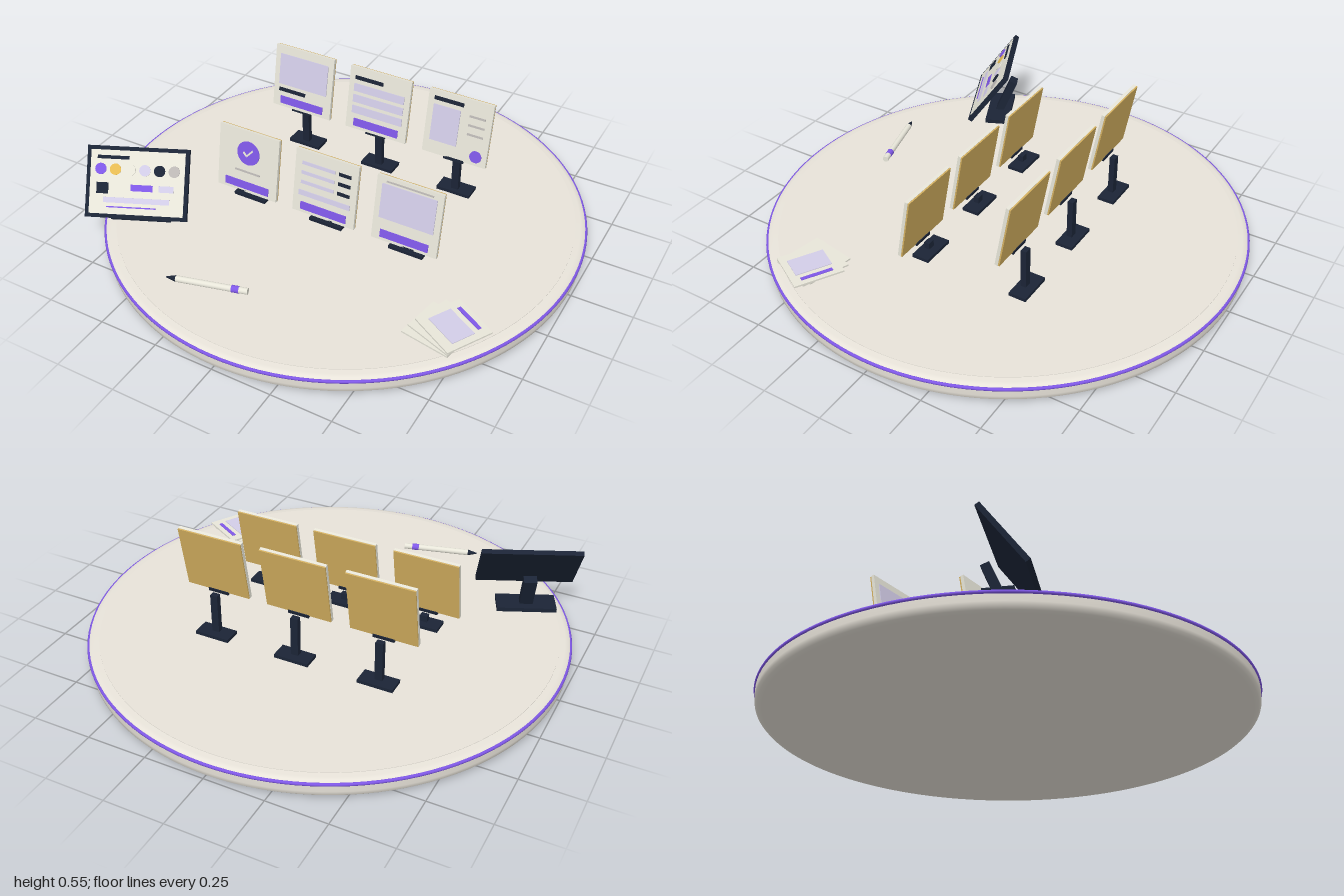
import * as THREE from 'three';
import { toCreasedNormals } from 'three/addons/utils/BufferGeometryUtils.js';

const mat = (name, color) => {
  const m = new THREE.MeshStandardMaterial({ color });
  m.name = name;
  return m;
};
const cream = mat('cream', 0xf1ece2);
const paper = mat('paper', 0xf5f3e6);
const lavender = mat('lavender', 0xdcd6f2);
const purple = mat('purple', 0x8058e8);
const gold = mat('gold', 0xd4b060);
const yellow = mat('yellow', 0xf0c456);
const navy = mat('navy', 0x1b2436);
const grey = mat('grey', 0xbdb9b6);

const TOP = 0.08;

function add(parent, name, geo, material, x = 0, y = 0, z = 0) {
  const m = new THREE.Mesh(geo, material);
  m.name = name;
  m.position.set(x, y, z);
  parent.add(m);
  return m;
}
const box = (p, name, material, w, h, d, x, y, z) =>
  add(p, name, new THREE.BoxGeometry(w, h, d), material, x, y, z);

function group(parent, name, x = 0, y = 0, z = 0) {
  const g = new THREE.Group();
  g.name = name;
  g.position.set(x, y, z);
  parent.add(g);
  return g;
}

// Thin painted plate and disc lying on a panel that faces +z
const plate = (p, name, material, w, h, x, y, z) => box(p, name, material, w, h, 0.006, x, y, z);
function dot(p, name, material, r, x, y, z) {
  const geo = new THREE.CylinderGeometry(r, r, 0.006, 28).rotateX(Math.PI / 2);
  return add(p, name, geo, material, x, y, z);
}

// Round table with bevelled edges, rim band and raised inlay
function addTable(root) {
  const g = group(root, 'table');
  const profile = [[0, 0], [0.965, 0], [0.982, 0.004], [0.992, 0.014], [0.994, 0.03],
    [0.994, 0.066], [0.985, 0.075], [0.97, 0.078], [0, 0.078]].map(p => new THREE.Vector2(...p));
  add(g, 'tableDisc', toCreasedNormals(new THREE.LatheGeometry(profile, 128), 0.7), cream);
  add(g, 'rimBand', new THREE.TorusGeometry(0.993, 0.007, 8, 128).rotateX(Math.PI / 2), purple, 0, 0.063, 0);
  add(g, 'tableInlay', new THREE.CylinderGeometry(0.95, 0.95, 0.004, 128), cream, 0, TOP - 0.002, 0);
}

// Printed layouts, drawn in card coordinates
const F = 0.011;
const header = (c, y = 0.108) => plate(c, 'header', navy, 0.13, 0.016, -0.05, y, F);
const button = c => plate(c, 'button', purple, 0.21, 0.034, 0, -0.108, F);
const layouts = {
  picture(c) {
    plate(c, 'picture', lavender, 0.235, 0.14, 0, 0.035, F);
    plate(c, 'caption', navy, 0.13, 0.016, -0.05, -0.06, F);
    button(c);
  },
  form(c) {
    header(c, 0.095);
    for (let i = 0; i < 3; i++) plate(c, 'field', lavender, 0.235, 0.034, 0, 0.05 - i * 0.05, F);
    button(c);
  },
  columns(c) {
    header(c);
    plate(c, 'sideColumn', lavender, 0.12, 0.16, -0.055, -0.0, F);
    for (let i = 0; i < 3; i++) plate(c, 'textLine', grey, 0.07, 0.008, 0.08, 0.07 - i * 0.04, F);
    dot(c, 'roundButton', purple, 0.026, 0.095, -0.1, F);
  },
  check(c) {
    dot(c, 'badge', purple, 0.053, 0, 0.042, F);
    const a = plate(c, 'tickShort', paper, 0.022, 0.007, -0.014, 0.037, F + 0.004);
    a.rotation.z = -0.8;
    const b = plate(c, 'tickLong', paper, 0.042, 0.007, 0.008, 0.044, F + 0.004);
    b.rotation.z = 0.85;
    plate(c, 'textLine', grey, 0.12, 0.007, 0, -0.045, F);
    button(c);
  },
  list(c) {
    for (let i = 0; i < 3; i++) {
      plate(c, 'listLine', lavender, 0.15, 0.014, -0.035, 0.085 - i * 0.043, F);
      plate(c, 'listTag', navy, 0.055, 0.014, 0.085, 0.085 - i * 0.043, F);
    }
    plate(c, 'totalLine', lavender, 0.235, 0.022, 0, -0.05, F);
    button(c);
  },
  block(c) {
    plate(c, 'textLine', grey, 0.2, 0.006, 0, 0.122, F);
    plate(c, 'block', lavender, 0.235, 0.15, 0, 0.035, F);
    button(c);
  },
};

// Tilted display card on a stand; postH is the height of its post
function addCard(root, layout, x, z, postH) {
  const g = group(root, 'displayCard', x, TOP, z);
  box(g, 'standBase', navy, 0.15, 0.014, 0.075, 0, 0.007, -0.022);
  box(g, 'standPost', navy, 0.032, postH, 0.024, 0, postH / 2, -0.014);
  const c = group(g, 'card', 0, postH + 0.142, 0);
  c.rotation.x = -0.18;
  box(c, 'cardFront', paper, 0.285, 0.28, 0.014, 0, 0, 0.003);
  box(c, 'cardBack', gold, 0.283, 0.278, 0.006, 0, 0, -0.007);
  box(c, 'cardClip', navy, 0.09, 0.014, 0.024, 0, -0.142, -0.002);
  layouts[layout](c);
}

// Leaning tablet with stand
function addTablet(root) {
  const g = group(root, 'tablet', -0.685, TOP, 0.495);
  g.rotation.y = 0.42;
  box(g, 'tabletBase', navy, 0.25, 0.018, 0.11, 0, 0.009, -0.03);
  box(g, 'tabletLeg', navy, 0.055, 0.17, 0.035, 0, 0.09, -0.062).rotation.x = -0.4;
  const s = group(g, 'tabletScreen', 0, 0.175, 0);
  s.rotation.x = -0.63;
  box(s, 'tabletBody', navy, 0.416, 0.29, 0.02, 0, 0, 0);
  plate(s, 'screen', paper, 0.385, 0.258, 0, 0, 0.009);
  const z = 0.012;
  plate(s, 'screenHeader', navy, 0.13, 0.014, -0.1, 0.1, z);
  [purple, yellow, paper, lavender, navy, grey].forEach((m, i) =>
    dot(s, 'swatch', m, 0.023, -0.15 + i * 0.06, 0.052, z));
  plate(s, 'thumbnail', navy, 0.048, 0.045, -0.14, -0.025, z);
  plate(s, 'screenButton', purple, 0.09, 0.026, 0.02, -0.02, z);
  plate(s, 'smallField', lavender, 0.06, 0.026, 0.12, -0.02, z);
  plate(s, 'screenField', lavender, 0.27, 0.022, 0, -0.072, z);
  plate(s, 'screenLine', purple, 0.2, 0.005, -0.02, -0.1, z);
}

// Three sheets fanned around their near right corner
function addSheets(root) {
  for (let i = 0; i < 3; i++) {
    const g = group(root, 'sheet', 0.75, TOP + 0.005 + i * 0.009, 0.61);
    g.rotation.y = -(0.18 + i * 0.17);
    box(g, 'sheetPaper', paper, 0.205, 0.007, 0.2, -0.1025, 0, -0.1);
    if (i < 2) continue;
    box(g, 'sheetTitle', purple, 0.13, 0.004, 0.016, -0.1025, 0.004, -0.17);
    box(g, 'sheetPicture', lavender, 0.15, 0.004, 0.1, -0.1025, 0.004, -0.09);
  }
}

// Pen lying on the table, tip towards local -x
function addPen(root) {
  const g = group(root, 'pen', -0.21, TOP + 0.013, 0.714);
  g.rotation.y = 0.254;
  const rod = (name, m, r0, r1, len, x) =>
    add(g, name, new THREE.CylinderGeometry(r0, r1, len, 20).rotateZ(Math.PI / 2), m, x, 0, 0);
  rod('penBarrel', paper, 0.013, 0.013, 0.29, 0.02);
  rod('penTip', navy, 0.002, 0.013, 0.04, -0.145);
  rod('penBand', purple, 0.0145, 0.0145, 0.03, 0.115);
}
// The tip cone narrows towards -x because rotateZ(90 degrees) maps the top to -x

export function createModel() {
  const root = new THREE.Group();
  root.name = 'displayTable';
  addTable(root);
  ['picture', 'form', 'columns'].forEach((l, i) => addCard(root, l, (i - 1) * 0.365, -0.286, 0.186));
  ['check', 'list', 'block'].forEach((l, i) => addCard(root, l, (i - 1) * 0.365, 0.162, 0.042));
  addTablet(root);
  addSheets(root);
  addPen(root);
  return root;
}
